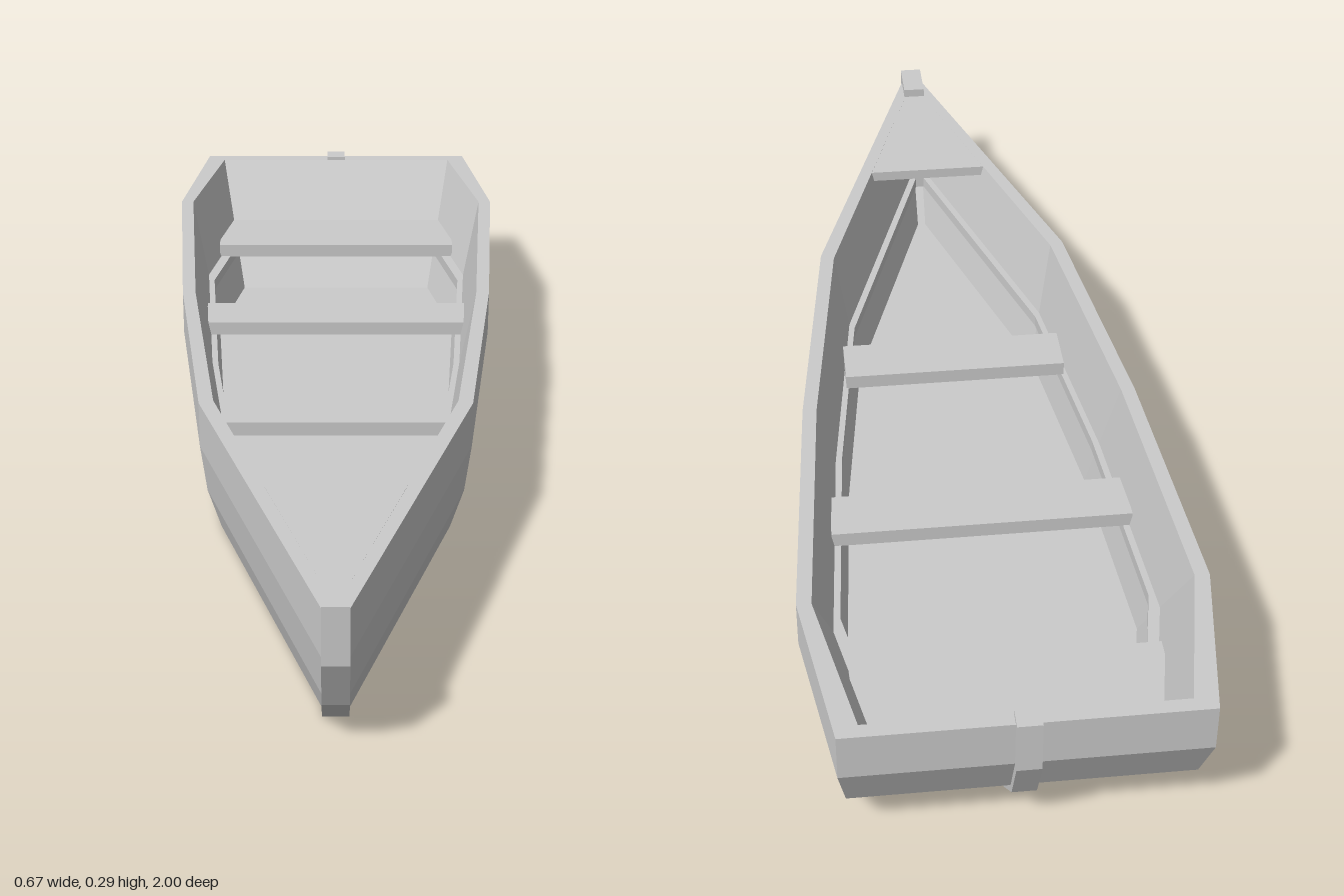
import * as THREE from 'three';

const material = new THREE.MeshStandardMaterial({ color: 0xcccccc, flatShading: true });

// Half outlines [x, z] of the gunwale, stern to bow
const OUTER = [[0.29, -0.985], [0.335, -0.69], [0.3, -0.19], [0.24, 0.3], [0.02, 0.98]];
const INNER = [[0.255, -0.96], [0.31, -0.69], [0.275, -0.19], [0.215, 0.29], [0.01, 0.94]];

// Closed ring at height y: a half outline scaled by s and mirrored
function ring(outline, s, y) {
  const left = outline.map(([x, z]) => [x * s, y, z * s]);
  const right = left.map(([x, h, z]) => [-x, h, z]).reverse();
  return [...left, ...right];
}

// Skin a list of rings, with optional caps on the first and last
function loft(rings, caps) {
  const n = rings[0].length;
  const index = [];
  for (let i = 0; i < rings.length - 1; i++) {
    for (let j = 0; j < n; j++) {
      const k = (j + 1) % n;
      const a = i * n + j, b = i * n + k, c = b + n, d = a + n;
      index.push(a, d, b, b, d, c);
    }
  }
  if (caps) {
    const last = (rings.length - 1) * n;
    for (let j = 1; j < n - 1; j++) {
      index.push(0, j, j + 1);
      index.push(last, last + j + 1, last + j);
    }
  }
  const geometry = new THREE.BufferGeometry();
  geometry.setAttribute('position', new THREE.Float32BufferAttribute(rings.flat(2), 3));
  geometry.setIndex(index);
  const flat = geometry.toNonIndexed();
  flat.computeVertexNormals();
  return flat;
}

// Prism from a [z, y] side profile, centred on x = 0
function post(profile, width) {
  const shape = new THREE.Shape(profile.map(([z, y]) => new THREE.Vector2(z, y)));
  const geometry = new THREE.ExtrudeGeometry(shape, { depth: width, bevelEnabled: false });
  return geometry.translate(0, 0, -width / 2).rotateY(-Math.PI / 2);
}

export function createModel() {
  const boat = new THREE.Group();
  boat.name = 'rowingBoat';
  const add = (name, geometry) => {
    const mesh = new THREE.Mesh(geometry, material);
    mesh.name = name;
    boat.add(mesh);
    return mesh;
  };

  // Hull: up the outside, over the gunwale, down to the floor
  add('hull', loft([
    ring(OUTER, 0.866, 0),
    ring(OUTER, 0.957, 0.09),
    ring(OUTER, 1, 0.185),
    ring(OUTER, 1, 0.27),
    ring(INNER, 1, 0.27),
    ring(INNER, 0.81, 0.03),
  ], true));

  // Ledge along the inside that carries the seats
  add('seatLedge', loft([
    ring(INNER, 0.9, 0.108),
    ring(INNER, 0.9, 0.13),
    ring(INNER, 0.845, 0.13),
    ring(INNER, 0.845, 0.108),
    ring(INNER, 0.9, 0.108),
  ], false));

  // Seats: [name, half width, back z, front z]
  const seats = [
    ['sternSeat', 0.257, -0.885, -0.72],
    ['middleSeat', 0.265, -0.4, -0.3],
    ['bowSeat', 0.21, 0.05, 0.15],
  ];
  for (const [name, half, back, front] of seats) {
    add(name, new THREE.BoxGeometry(half * 2, 0.027, front - back))
      .position.set(0, 0.143, (back + front) / 2);
  }

  // Small triangular foredeck
  const deck = new THREE.Shape([[-0.117, 0.6], [0.117, 0.6], [0.01, 0.94], [-0.01, 0.94]]
    .map(([x, z]) => new THREE.Vector2(x, z)));
  add('foredeck', new THREE.ExtrudeGeometry(deck, { depth: 0.02, bevelEnabled: false })
    .rotateX(Math.PI / 2).translate(0, 0.27, 0));

  // Stem and stern posts, hooked over the top edge
  add('stemPost', post([
    [0.86, 0], [0.95, 0.083], [1, 0.185], [1, 0.287], [0.91, 0.287],
    [0.91, 0.265], [0.95, 0.265], [0.94, 0.18], [0.9, 0.09], [0.81, 0],
  ], 0.043));
  add('sternPost', post([
    [-0.865, 0], [-0.955, 0.087], [-1, 0.185], [-0.997, 0.277], [-0.96, 0.277],
    [-0.96, 0.262], [-0.975, 0.262], [-0.975, 0.18], [-0.93, 0.09], [-0.84, 0],
  ], 0.04));

  return boat;
}
